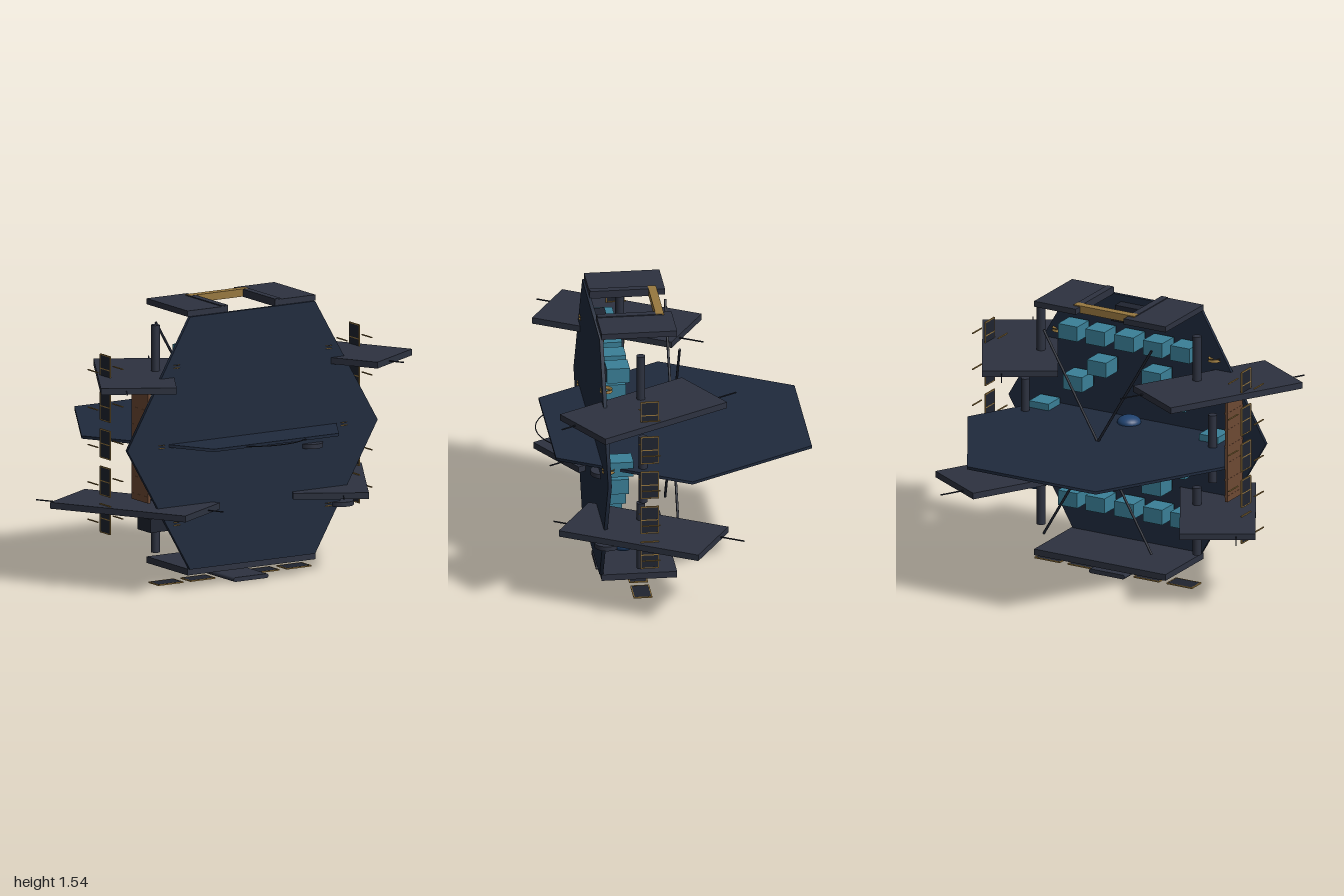
import * as THREE from 'three';

const mat = (color) => new THREE.MeshStandardMaterial({ color, side: THREE.DoubleSide });
const M = {
  plate: mat(0x1f2a3d), panel: mat(0x2d3240), dark: mat(0x1f2430), gold: mat(0x98783f),
  teal: mat(0x3a8098), brown: mat(0x6e4a34), blue: mat(0x20426e), purple: mat(0x6a1c5c),
};
const CY = 0.807; // height of the hexagon's centre

export function createModel() {
  const root = new THREE.Group();

  function add(name, geo, material, x, y, z, parent = root) {
    const m = new THREE.Mesh(geo, material);
    m.name = name;
    m.position.set(x, y, z);
    parent.add(m);
    return m;
  }
  const box = (name, material, w, h, d, x, y, z, parent) =>
    add(name, new THREE.BoxGeometry(w, h, d), material, x, y, z, parent);
  const disc = (name, material, r, h, x, y, z, r2 = r) =>
    add(name, new THREE.CylinderGeometry(r2, r, h, 32), material, x, y, z);
  const hex = (h) => new THREE.CylinderGeometry(0.803, 0.803, h, 6).rotateY(Math.PI / 6);

  // Hexagonal bulkheads: one upright in front, one lying through the middle
  add('frontPlate', hex(0.02).rotateX(Math.PI / 2), M.plate, 0, CY, 0.411);
  add('middlePlate', hex(0.016), M.plate, 0, CY, -0.038);

  // Bottom panel and split top panel with its bay frame
  box('bottomPanel', M.panel, 0.82, 0.035, 0.41, 0, 0.096, 0.205);
  for (const s of [-1, 1]) {
    box('topPanel', M.panel, 0.26, 0.032, 0.41, s * 0.28, 1.519, 0.205);
    box('bayRail', M.panel, 0.04, 0.042, 0.35, s * 0.17, 1.519, 0.232);
  }
  box('bayBeam', M.gold, 0.38, 0.042, 0.045, 0, 1.52, 0.068);

  // Four turned side panels with whip rods at their ends
  for (const s of [-1, 1]) {
    for (const v of [-1, 1]) {
      const g = new THREE.Group();
      g.name = 'sidePanel';
      g.position.set(s * 0.617, CY + v * 0.356, 0.207);
      g.rotation.y = -s * v * Math.PI / 3;
      box('sidePanelBoard', M.panel, 0.82, 0.035, 0.41, 0, 0, 0, g);
      const out = s;          // local x that points away from the middle
      const side = s * v;
      box('whipRod', M.dark, 0.14, 0.006, 0.006, out * (v > 0 ? 0.43 : 0.48), 0, side * (v > 0 ? 0.067 : 0.099), g);
      box('whipRod', M.dark, 0.14, 0.006, 0.006, -out * (v > 0 ? 0.48 : 0.43), 0, -side * (v > 0 ? 0.099 : 0.067), g);
      root.add(g);
    }
  }

  // Tanks and small gold nozzles
  for (const s of [-1, 1]) {
    for (const [x, dy] of [[0.487, 0.433], [0.585, 0], [0.487, -0.433]]) {
      disc('tank', M.panel, 0.024, 0.385, s * x, CY + dy, 0.207);
      const nozzle = [[0.032, -0.01], [0.035, -0.008], [0.012, 0], [0.035, 0.008], [0.032, 0.01]];
      add('nozzle', new THREE.LatheGeometry(nozzle.map((p) => new THREE.Vector2(...p)), 20),
        M.gold, s * x, CY + dy, 0.395);
    }
  }

  // Louvre strips: five framed flaps on each side and below
  function louvre(parent, offset) {
    const g = new THREE.Group();
    g.name = 'louvre';
    g.position.y = offset;
    box('flap', M.dark, 0.005, 0.155, 0.09, 0, 0, 0, g);
    for (const s of [-1, 1]) {
      box('flapEdge', M.gold, 0.007, 0.155, 0.006, 0, 0, s * 0.048, g);
      box('flapEnd', M.gold, 0.007, 0.006, 0.1, 0, s * 0.077, 0, g);
    }
    parent.add(g);
    return g;
  }
  for (const [x, y, turn] of [[0.8, CY, 0], [-0.8, CY, 0], [0, 0.005, Math.PI / 2]]) {
    const strip = new THREE.Group();
    strip.name = 'louvreStrip';
    strip.position.set(x, y, 0.195);
    strip.rotation.z = turn;
    for (let i = -2; i <= 2; i++) {
      const g = louvre(strip, i * 0.206);
      if (turn) continue;
      for (const dx of [-0.08, 0, 0.08]) box('flapRod', M.gold, 0.006, 0.006, 0.1, dx, 0, 0, g);
    }
    root.add(strip);
  }

  // Equipment boxes behind the front plate, mirrored left and right
  const boxes = [[0.18, 1.285], [0.35, 1.285], [0.17, 1.11], [0.32, 1.0], [0.53, 0.81],
    [0.32, 0.615], [0.17, 0.49], [0.18, 0.33], [0.35, 0.33]];
  for (const [x, y] of boxes) {
    for (const s of [-1, 1]) {
      box('equipmentBox', M.teal, 0.12, 0.085, 0.125, s * x, y, 0.32);
      box('boxBase', M.dark, 0.1, 0.07, 0.02, s * x, y, 0.391);
    }
  }
  for (const y of [1.285, 0.33]) box('equipmentBox', M.teal, 0.12, 0.085, 0.125, 0, y, 0.32);

  // Crossed braces at the back
  for (const s of [-1, 1]) {
    const brace = add('brace', new THREE.CylinderGeometry(0.007, 0.007, 1.35, 10), M.dark, 0, CY, -0.022);
    brace.rotation.z = s * Math.PI / 6;
  }

  // Radiator along one side with cross ribs and a drum
  box('radiator', M.brown, 0.014, 0.63, 0.165, -0.652, 0.815, 0.32);
  for (let i = 0; i < 7; i++) box('radiatorRib', M.brown, 0.02, 0.01, 0.165, -0.65, 0.53 + i * 0.095, 0.32);
  disc('drum', M.brown, 0.075, 0.09, -0.56, 0.712, 0.32);

  // Main dish with its hoop, and two smaller dishes
  disc('mainDish', M.panel, 0.15, 0.025, 0, 0.802, 0.4);
  const hoop = add('dishHoop', new THREE.TorusGeometry(0.32, 0.003, 6, 64), M.dark, 0, CY, 0.4);
  hoop.rotation.x = Math.PI / 2;
  disc('smallDish', M.panel, 0.068, 0.025, 0.385, 0.712, 0.4);
  disc('smallDish', M.panel, 0.07, 0.025, 0.58, 0.372, 0.4);
  for (const x of [0, 0.58]) {
    const lens = add('lensBody', new THREE.SphereGeometry(0.065, 24, 16), M.blue, x, x ? 0.372 : 0.82, 0.315);
    lens.scale.y = 0.57;
  }
  add('sensorBall', new THREE.SphereGeometry(0.025, 20, 14), M.purple, 0.385, 0.712, 0.315);
  box('sideUnit', M.dark, 0.14, 0.075, 0.13, -0.57, 0.372, 0.33);

  // Instruments inside the top bay
  box('bayUnit', M.dark, 0.2, 0.055, 0.07, 0, 1.437, 0.37);
  box('bayBlock', M.gold, 0.24, 0.055, 0.035, 0, 1.388, 0.382);
  box('bayPlate', M.dark, 0.14, 0.008, 0.05, 0, 1.412, 0.268);
  disc('bayLens', M.teal, 0.022, 0.02, 0, 1.39, 0.345);

  // Flat pad hung below the bottom panel
  box('lowerPad', M.panel, 0.2, 0.024, 0.33, 0, 0.02, 0.24);
  for (const s of [-1, 1]) {
    const edge = add('padEdge', new THREE.CylinderGeometry(0.012, 0.012, 0.33, 12), M.panel, s * 0.1, 0.02, 0.24);
    edge.rotation.x = Math.PI / 2;
  }
  return root;
}
